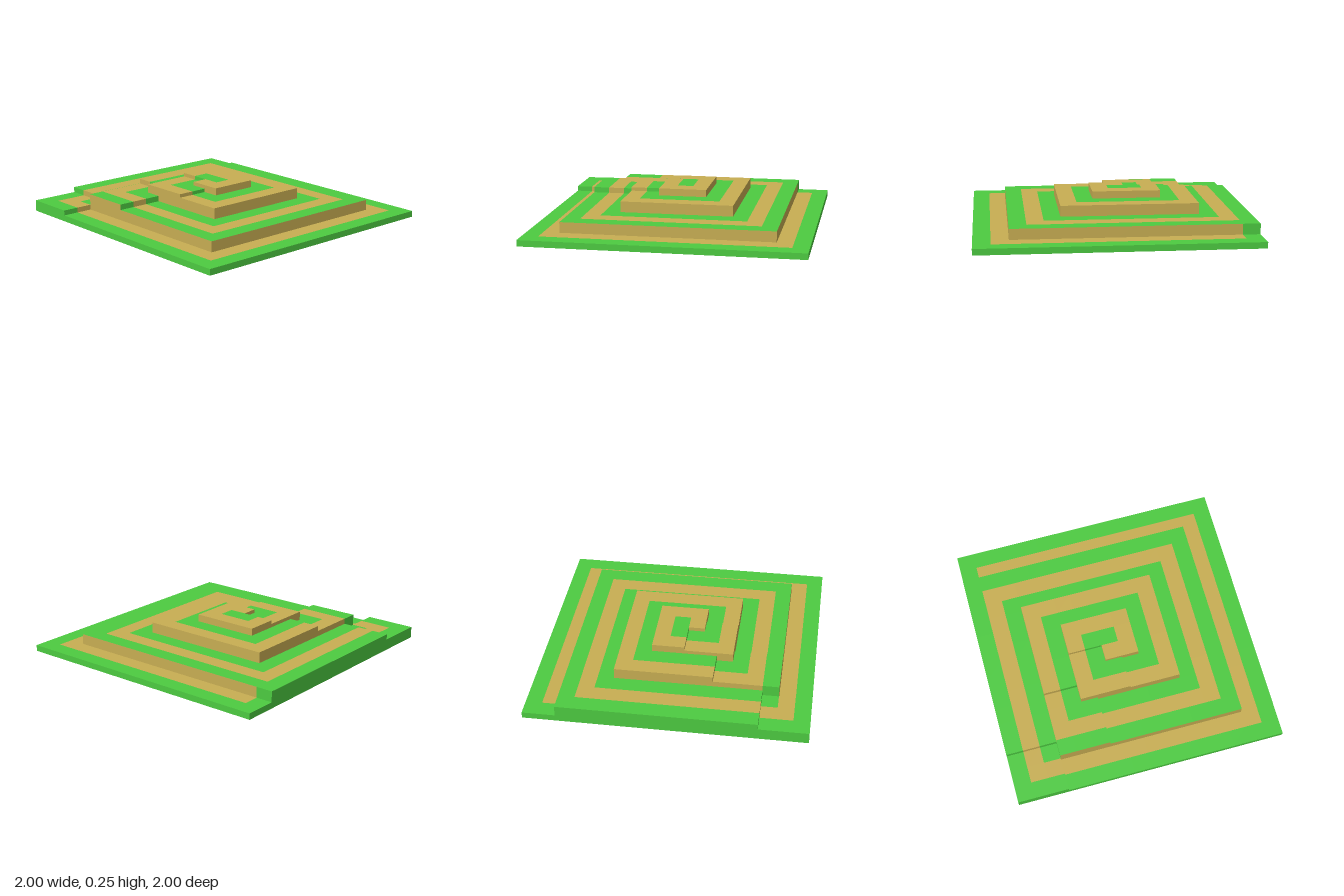
import * as THREE from 'three';

const COLS = 17, ROWS = 16;
const GRASS = 0x4dcb41, SAND = 0xc8ae53;

// Terraces as tile rectangles: first column, first row, end column, end row, height
const TERRACES = [
  [0, 0, 17, 16, 0.045],
  [0, 0, 3, 3, 0.082],
  [3, 0, 15, 14, 0.122], [2, 3, 15, 14, 0.122],
  [2, 3, 6, 6, 0.163],
  [6, 3, 12, 11, 0.201], [5, 5, 12, 11, 0.201],
  [5, 5, 8, 8, 0.227],
  [8, 5, 10, 9, 0.254], [7, 7, 10, 9, 0.254],
];

// Corners of the sand path (column, row), from the outer end to the centre
const PATH = [
  [15, 1], [15, 14], [1, 14], [1, 1], [13, 1], [13, 12], [3, 12], [3, 3],
  [11, 3], [11, 10], [5, 10], [5, 5], [9, 5], [9, 8], [7, 8], [7, 7],
];

function heightAt(c, r) {
  let h = 0;
  for (const [c0, r0, c1, r1, y] of TERRACES) {
    if (c >= c0 && c < c1 && r >= r0 && r < r1) h = Math.max(h, y);
  }
  return h;
}

function isSand(c, r) {
  for (let i = 1; i < PATH.length; i++) {
    const [a, b] = PATH[i - 1], [d, e] = PATH[i];
    if (c >= Math.min(a, d) && c <= Math.max(a, d) && r >= Math.min(b, e) && r <= Math.max(b, e)) return true;
  }
  return false;
}

// Quad with corners in counter-clockwise order seen from its front
function addQuad(list, a, b, c, d) {
  list.push(...a, ...b, ...c, ...a, ...c, ...d);
}

function makeMesh(name, positions, color) {
  const geometry = new THREE.BufferGeometry();
  geometry.setAttribute('position', new THREE.Float32BufferAttribute(positions, 3));
  geometry.computeVertexNormals();
  const mesh = new THREE.Mesh(geometry, new THREE.MeshStandardMaterial({ color }));
  mesh.name = name;
  return mesh;
}

export function createModel() {
  const X = (c) => -1 + (2 * c) / COLS;
  const Z = (r) => -1 + (2 * r) / ROWS;
  const parts = { grassTop: [], sandPath: [], grassWalls: [], sandWalls: [] };

  for (let r = 0; r < ROWS; r++) {
    for (let c = 0; c < COLS; c++) {
      const x0 = X(c), x1 = X(c + 1), z0 = Z(r), z1 = Z(r + 1);
      const h = heightAt(c, r), sand = isSand(c, r);

      // Top of the tile
      addQuad(sand ? parts.sandPath : parts.grassTop,
        [x0, h, z0], [x0, h, z1], [x1, h, z1], [x1, h, z0]);

      // Walls down to lower neighbours: step, then edge from left to right seen from outside
      const sides = [
        [0, 1, x0, z1, x1, z1],
        [0, -1, x1, z0, x0, z0],
        [1, 0, x1, z1, x1, z0],
        [-1, 0, x0, z0, x0, z1],
      ];
      for (const [dc, dr, ax, az, bx, bz] of sides) {
        const low = heightAt(c + dc, r + dr);
        if (low >= h) continue;
        const wall = sand || isSand(c + dc, r + dr) ? parts.sandWalls : parts.grassWalls;
        addQuad(wall, [ax, low, az], [bx, low, bz], [bx, h, bz], [ax, h, az]);
      }
    }
  }

  const group = new THREE.Group();
  group.name = 'spiralTerrace';
  for (const [name, positions] of Object.entries(parts)) {
    group.add(makeMesh(name, positions, name.startsWith('sand') ? SAND : GRASS));
  }

  // Underside
  const underside = [];
  addQuad(underside, [-1, 0, -1], [1, 0, -1], [1, 0, 1], [-1, 0, 1]);
  group.add(makeMesh('underside', underside, GRASS));
  return group;
}
